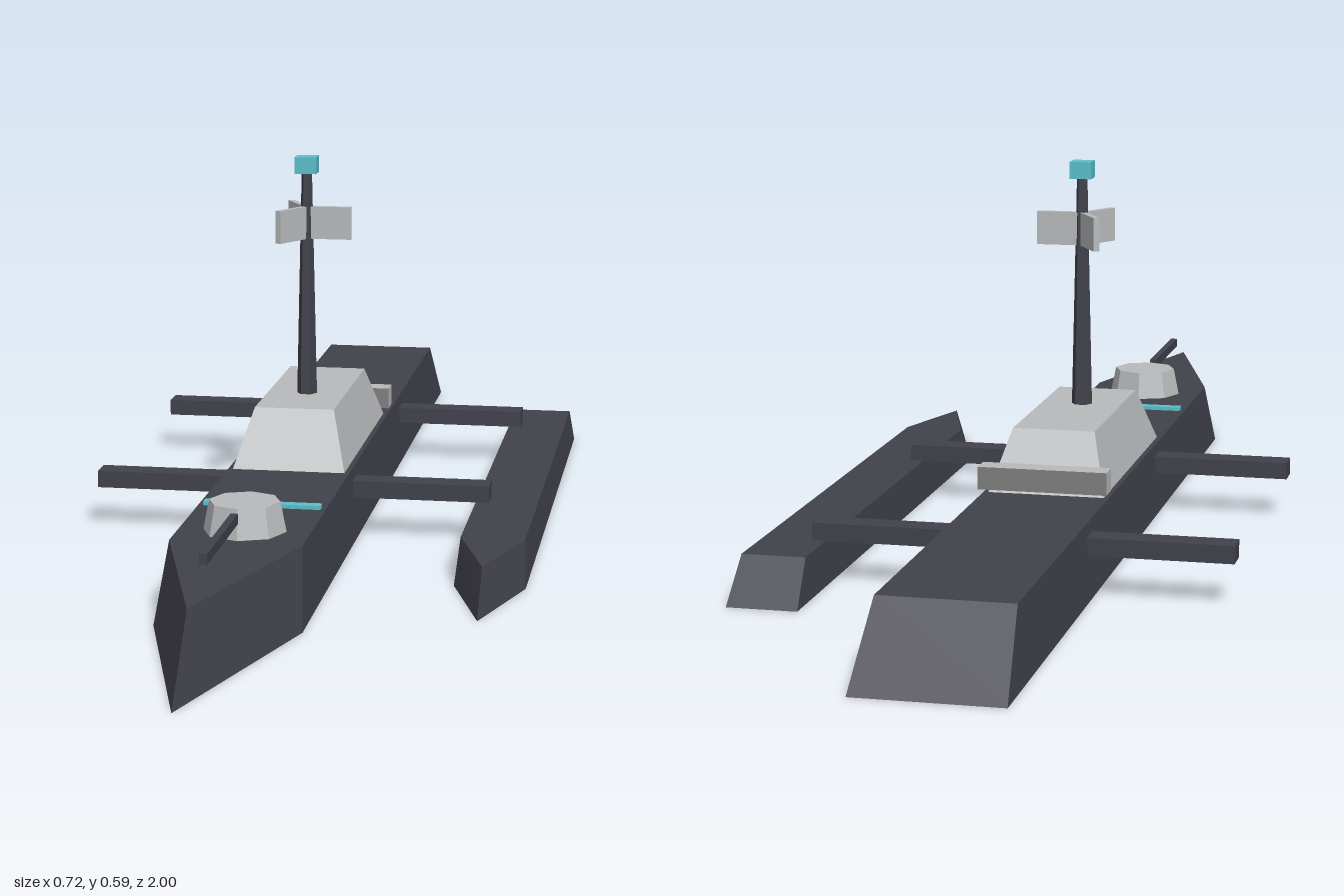
import * as THREE from 'three';

const mat = (name, color) => {
  const m = new THREE.MeshStandardMaterial({ color });
  m.name = name;
  return m;
};

export function createModel() {
  const hullDark = mat('hullDark', 0x41414b);
  const paleGrey = mat('paleGrey', 0xb8babc);
  const midGrey = mat('midGrey', 0x808080);
  const teal = mat('teal', 0x5bc0cc);

  const group = new THREE.Group();
  const CX = -0.042; // centreline of the main hull

  const add = (name, geometry, material, x, y, z, parent = group) => {
    const mesh = new THREE.Mesh(geometry, material);
    mesh.name = name;
    mesh.position.set(x, y, z);
    parent.add(mesh);
    return mesh;
  };

  // Scales the upper vertices of a geometry towards its axis
  const taperTop = (geometry, limit, sx, sz) => {
    const p = geometry.attributes.position;
    for (let i = 0; i < p.count; i++) {
      if (p.getY(i) > limit) p.setXYZ(i, p.getX(i) * sx, p.getY(i), p.getZ(i) * sz);
    }
    const flat = geometry.index ? geometry.toNonIndexed() : geometry;
    flat.computeVertexNormals();
    return flat;
  };

  // Pointed hull, wider at the keel than at the deck
  const hull = (half, shoulder, length, height) => {
    const outline = new THREE.Shape([
      new THREE.Vector2(-half, length / 2),
      new THREE.Vector2(-half, -shoulder),
      new THREE.Vector2(0, -length / 2),
      new THREE.Vector2(half, -shoulder),
      new THREE.Vector2(half, length / 2),
    ]);
    const g = new THREE.ExtrudeGeometry(outline, { depth: height, bevelEnabled: false });
    g.rotateX(-Math.PI / 2);
    return taperTop(g, height / 2, 0.905, 0.9);
  };
  add('mainHull', hull(0.108, 0.63, 2, 0.11), hullDark, CX, 0, 0);
  add('outriggerHull', hull(0.054, 0.41, 1.17, 0.065), hullDark, 0.304, 0, -0.05);

  // Cross beams through the main hull
  for (const z of [0.087, -0.457]) {
    add('crossBeam', new THREE.BoxGeometry(0.636, 0.027, 0.042), hullDark, CX, 0.078, z);
  }

  // Deckhouse with sloping walls
  add('deckhouse', taperTop(new THREE.BoxGeometry(0.18, 0.09, 0.44), 0, 0.715, 0.75),
    paleGrey, CX, 0.155, -0.087);

  // Exhaust box behind the deckhouse, with darker front and rear faces
  add('exhaustBox', new THREE.BoxGeometry(0.2, 0.035, 0.035),
    [paleGrey, paleGrey, paleGrey, paleGrey, midGrey, midGrey], CX, 0.138, -0.318);

  // Deck stripe
  add('deckStripe', new THREE.BoxGeometry(0.18, 0.008, 0.017), teal, CX, 0.112, 0.357);

  // Turret and gun
  const turret = new THREE.CylinderGeometry(0.053, 0.062, 0.045, 8).toNonIndexed();
  turret.computeVertexNormals();
  add('turret', turret, paleGrey, CX, 0.1325, 0.497);
  add('gunBarrel', new THREE.BoxGeometry(0.011, 0.015, 0.217), hullDark, CX, 0.148, 0.685);

  // Mast with lamp and three radial panels
  const mast = new THREE.Group();
  mast.name = 'mast';
  mast.position.set(CX, 0, -0.045);
  group.add(mast);
  const pole = new THREE.CylinderGeometry(0.0085, 0.0165, 0.366, 6).toNonIndexed();
  pole.rotateY(Math.PI / 6);
  pole.computeVertexNormals();
  add('mastPole', pole, hullDark, 0, 0.383, 0, mast);
  add('mastLamp', new THREE.BoxGeometry(0.035, 0.027, 0.032), teal, 0, 0.578, 0, mast);
  for (let i = 0; i < 3; i++) {
    const g = new THREE.BoxGeometry(0.073, 0.053, 0.01).translate(0.0365, 0, 0);
    add('radarPanel', g, paleGrey, 0, 0.4835, 0, mast).rotation.y = (i * Math.PI * 2) / 3;
  }

  return group;
}
